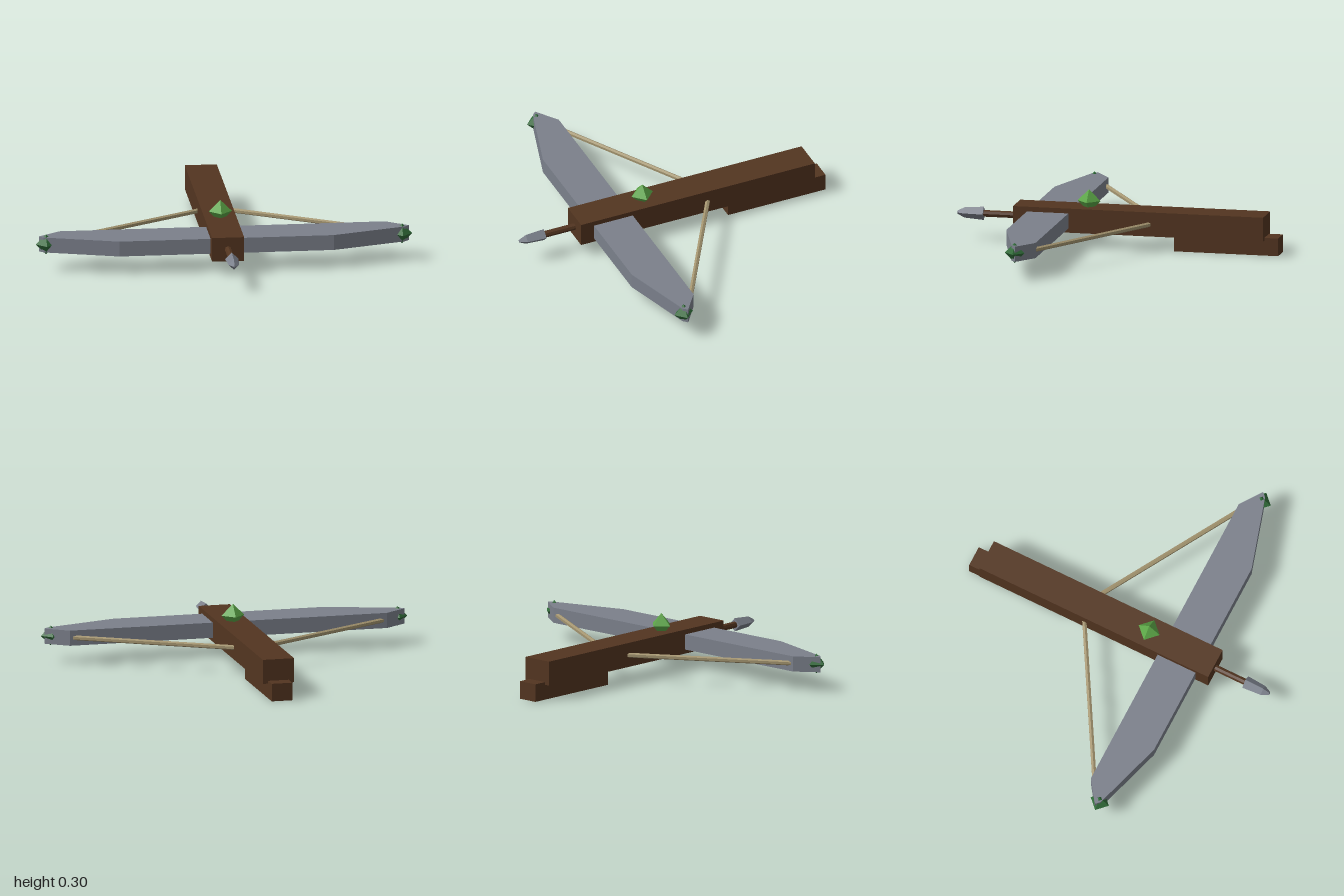
import * as THREE from 'three';

const material = (name, color) => {
  const m = new THREE.MeshStandardMaterial({ color });
  m.name = name;
  return m;
};

export function createModel() {
  const wood = material('dark wood', 0x533520);
  const steel = material('grey steel', 0x7b808b);
  const cord = material('tan cord', 0xa3946f);
  const green = material('bright green gem', 0x5ba546);
  const darkGreen = material('dark green gem', 0x2f6b38);
  const model = new THREE.Group();
  model.name = 'crossbow';

  const add = (name, geometry, mat, x = 0, y = 0, z = 0) => {
    // Separate corners give every facet a flat normal
    const g = geometry.index ? geometry.toNonIndexed() : geometry;
    g.computeVertexNormals();
    const mesh = new THREE.Mesh(g, mat);
    mesh.name = name;
    mesh.position.set(x, y, z);
    model.add(mesh);
    return mesh;
  };
  // Stock and the narrower grip beneath its rear
  add('stock', new THREE.BoxGeometry(0.17, 0.13, 1.355), wood, 0, 0.145, -0.125);
  add('grip', new THREE.BoxGeometry(0.112, 0.095, 0.565), wood, 0, 0.0475, -0.595);

  // Bow limbs: one plan outline mirrored in x, extruded upwards
  const half = [[0.57, 0.478], [0.96, 0.36], [0.983, 0.337], [0.865, 0.253]];
  const outline = [...half, ...half.map(([x, z]) => [-x, z]).reverse()];
  const shape = new THREE.Shape(outline.map(([x, z]) => new THREE.Vector2(x, -z)));
  const bow = new THREE.ExtrudeGeometry(shape, { depth: 0.082, bevelEnabled: false });
  bow.rotateX(-Math.PI / 2);
  add('bow', bow, steel, 0, 0.102, 0);

  // String halves and tip gems
  for (const [side, s] of [['left', 1], ['right', -1]]) {
    const a = new THREE.Vector3(s * 0.87, 0.143, 0.278);
    const b = new THREE.Vector3(0, 0.143, -0.23);
    const string = new THREE.TubeGeometry(new THREE.LineCurve3(a, b), 1, 0.013, 6);
    add(side + 'String', string, cord);
    add(side + 'TipGem', new THREE.OctahedronGeometry(0.054), darkGreen, s * 0.946, 0.143, 0.347);
  }

  // Sight gem set in the top of the stock
  add('sightGem', new THREE.OctahedronGeometry(0.062), green, 0, 0.24, 0.16);

  // Bolt with a four-sided head
  const shaft = new THREE.CylinderGeometry(0.018, 0.018, 0.3, 8);
  shaft.rotateX(Math.PI / 2);
  add('boltShaft', shaft, wood, 0, 0.145, 0.6);
  const profile = [[0, 0], [0.036, 0], [0.028, 0.105], [0.009, 0.143], [0, 0.145]];
  const head = new THREE.LatheGeometry(profile.map(([r, y]) => new THREE.Vector2(r, y)), 4);
  head.rotateX(Math.PI / 2);
  add('boltHead', head, steel, 0, 0.145, 0.73);

  return model;
}
